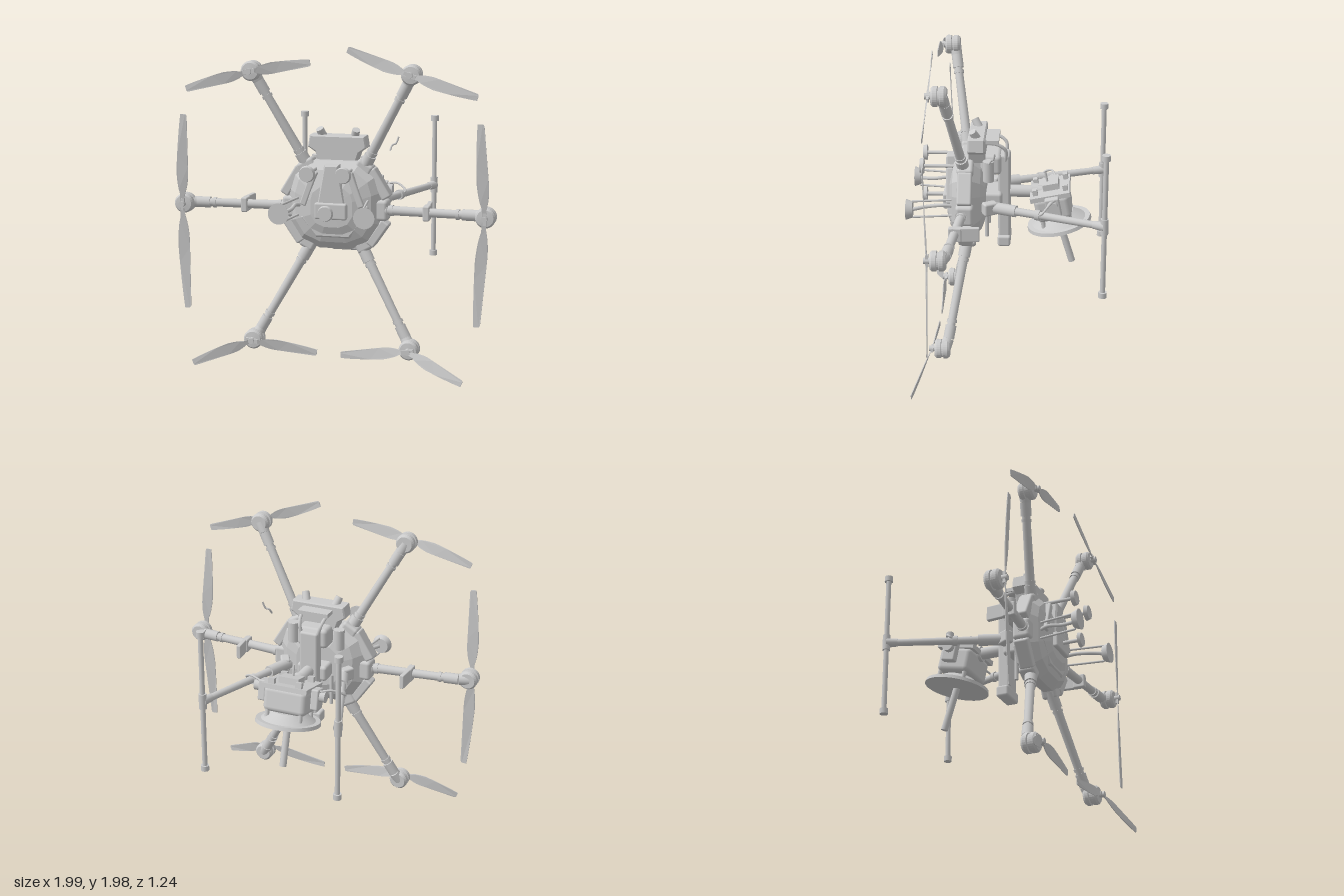
import * as THREE from 'three';
import { RoundedBoxGeometry } from 'three/addons/geometries/RoundedBoxGeometry.js';

const smooth = new THREE.MeshStandardMaterial({ color: 0xcccccc, side: THREE.DoubleSide });
const flat = new THREE.MeshStandardMaterial({ color: 0xcccccc, side: THREE.DoubleSide, flatShading: true });
const V = (p) => new THREE.Vector3(...p);

function add(parent, name, geo, pos = [0, 0, 0], rot = [0, 0, 0], mat = smooth) {
  const m = new THREE.Mesh(geo, mat);
  m.name = name;
  m.position.set(...pos);
  m.rotation.set(...rot);
  parent.add(m);
  return m;
}
const box = (p, name, size, pos, rot) => add(p, name, new THREE.BoxGeometry(...size), pos, rot, flat);
const rbox = (p, name, size, pos, rot) =>
  add(p, name, new RoundedBoxGeometry(...size, 2, Math.min(...size) * 0.2), pos, rot);

// Cylinder running from a to b
function rod(parent, name, a, b, r0, r1 = r0, seg = 16) {
  const A = V(a), d = V(b).sub(A);
  const m = add(parent, name, new THREE.CylinderGeometry(r1, r0, d.length(), seg));
  m.position.copy(A).addScaledVector(d, 0.5);
  m.quaternion.setFromUnitVectors(new THREE.Vector3(0, 1, 0), d.normalize());
  return m;
}
const tube = (p, name, pts, r) =>
  add(p, name, new THREE.TubeGeometry(new THREE.CatmullRomCurve3(pts.map(V)), 24, r, 8));
const along = (a, b, t) => V(a).lerp(V(b), t).toArray();

// Thin twisted propeller blade from the hub to its tip
function blade(parent, hub, tip, flip) {
  const d = V(tip).sub(V(hub)), L = d.length();
  const s = new THREE.Shape();
  s.moveTo(0, -0.012);
  s.lineTo(0.1 * L, -0.014);
  s.bezierCurveTo(0.2 * L, -0.03, 0.28 * L, -0.036, 0.42 * L, -0.032);
  s.lineTo(0.97 * L, -0.02);
  s.quadraticCurveTo(L, -0.018, L, -0.008);
  s.lineTo(L, 0.02);
  s.quadraticCurveTo(0.75 * L, 0.034, 0.38 * L, 0.037);
  s.quadraticCurveTo(0.2 * L, 0.03, 0.12 * L, 0.013);
  s.lineTo(0, 0.012);
  const g = new THREE.ExtrudeGeometry(s, { depth: 0.005, bevelEnabled: false, curveSegments: 8 });
  const q = g.attributes.position;
  for (let i = 0; i < q.count; i++) {
    const t = q.getX(i) / L, y = q.getY(i) * flip;
    q.setY(i, y);
    q.setZ(i, q.getZ(i) + y * flip * 0.3 * (1 - t));
  }
  g.computeVertexNormals();
  const m = add(parent, 'propellerBlade', g, hub);
  const x = d.normalize(), y = new THREE.Vector3(0, 0, 1).cross(x).normalize();
  m.quaternion.setFromRotationMatrix(new THREE.Matrix4().makeBasis(x, y, x.clone().cross(y)));
}

// Arm tube with collars, motor and two-bladed propeller
function rotorArm(root, start, end, motor, tips) {
  const g = new THREE.Group();
  g.name = 'rotorArm';
  root.add(g);
  rod(g, 'armTube', start, end, 0.03, 0.025);
  [[-0.04, 0.14, 0.038], [0.16, 0.19, 0.034], [0.8, 0.83, 0.032], [0.86, 1.0, 0.034]].forEach(([a, b, r]) =>
    rod(g, 'armCollar', along(start, end, a), along(start, end, b), r));
  rod(g, 'motorNeck', end, [motor[0], motor[1], motor[2] - 0.015], 0.034, 0.04);
  const pts = [[0, -0.05], [0.048, -0.05], [0.06, -0.035], [0.06, -0.012], [0.052, -0.008], [0.052, 0.002],
    [0.06, 0.005], [0.06, 0.03], [0.05, 0.042], [0.02, 0.045], [0, 0.045]].map((p) => new THREE.Vector2(...p));
  add(g, 'motor', new THREE.LatheGeometry(pts, 28), motor, [Math.PI / 2, 0, 0], flat);
  const [x, y, z] = motor;
  rod(g, 'propellerHub', [x, y, z + 0.04], [x, y, z + 0.08], 0.018);
  box(g, 'propellerClamp', [0.075, 0.026, 0.016], [x, y, z + 0.06], [0, 0, Math.atan2(tips[0][1] - y, tips[0][0] - x)]);
  tips.forEach((t, i) => blade(g, [x, y, z + 0.06], t, i === 0 ? 1 : -1));
}

export function createModel() {
  const root = new THREE.Group();
  root.name = 'hexacopter';

  // Faceted hull lofted along z
  const half = [[0.1, 0.74], [0.22, 0.79], [0.29, 0.9], [0.29, 1.1], [0.26, 1.2], [0.16, 1.28]];
  const outline = [...half, ...half.map(([x, y]) => [-x, y]).reverse()];
  const rings = [[0.13, 0.5], [0.16, 0.78], [0.22, 1], [0.28, 1], [0.33, 0.82], [0.37, 0.45]];
  const pos = [], idx = [], n = outline.length;
  rings.forEach(([z, s]) => outline.forEach(([x, y]) => pos.push(x * s, 1.01 + (y - 1.01) * s, z)));
  pos.push(0, 1.01, 0.13, 0, 1.01, 0.375);
  const c0 = rings.length * n;
  for (let i = 0; i < n; i++) {
    const j = (i + 1) % n, e = (rings.length - 1) * n;
    for (let k = 0; k < rings.length - 1; k++) {
      const a = k * n + i, b = k * n + j;
      idx.push(a, b, b + n, a, b + n, a + n);
    }
    idx.push(c0, j, i, c0 + 1, e + i, e + j);
  }
  const hull = new THREE.BufferGeometry();
  hull.setAttribute('position', new THREE.Float32BufferAttribute(pos, 3));
  hull.setIndex(idx);
  hull.computeVertexNormals();
  add(root, 'hull', hull, [0, 0, 0], [0, 0, 0], flat);

  // Front cover: spine, nose and chin
  const cover = new THREE.Shape([[-0.035, 1.26], [0.035, 1.26], [0.075, 1.04], [-0.075, 1.04]].map((p) => new THREE.Vector2(...p)));
  add(root, 'coverSpine', new THREE.ExtrudeGeometry(cover, { depth: 0.05, bevelSize: 0.01, bevelThickness: 0.01, bevelSegments: 1 }), [0, 0, 0.32], [0, 0, 0], flat);
  rbox(root, 'nosePanel', [0.2, 0.1, 0.06], [0, 0.99, 0.37]);
  const chin = new THREE.Shape([[-0.19, 0.94], [0.19, 0.94], [0.1, 0.83], [-0.1, 0.83]].map((p) => new THREE.Vector2(...p)));
  add(root, 'chin', new THREE.ExtrudeGeometry(chin, { depth: 0.05, bevelSize: 0.012, bevelThickness: 0.012, bevelSegments: 1 }), [0, 0, 0.29], [0, 0, 0], flat);
  rod(root, 'centreAntennaPost', [0, 1, 0.37], [0, 1, 0.51], 0.012);
  rod(root, 'centreAntenna', [0, 1, 0.505], [0, 1, 0.525], 0.048, 0.042, 24);

  // Rear head unit
  const head = new THREE.Shape([[-0.11, 1.27], [0.11, 1.27], [0.13, 1.33], [0.175, 1.36], [0.165, 1.42], [-0.165, 1.42], [-0.175, 1.36], [-0.13, 1.33]].map((p) => new THREE.Vector2(...p)));
  add(root, 'headUnit', new THREE.ExtrudeGeometry(head, { depth: 0.09, bevelSize: 0.008, bevelThickness: 0.008, bevelSegments: 1 }), [0, 0, 0.14], [0, 0, 0], flat);
  box(root, 'headBracket', [0.2, 0.025, 0.12], [0, 1.39, 0.11]);
  rbox(root, 'rearBlock', [0.2, 0.13, 0.13], [0, 1.235, 0.1]);

  // Spine rail carrying the payload
  rbox(root, 'payloadRail', [0.12, 0.6, 0.075], [0, 0.99, 0.02]);
  rbox(root, 'railFoot', [0.17, 0.07, 0.08], [0, 0.715, 0.02]);
  rbox(root, 'railBridge', [0.2, 0.1, 0.12], [0, 1.0, 0.09]);
  rod(root, 'gimbalColumn', [0, 1.03, 0], [0, 1.03, -0.24], 0.038);
  rod(root, 'gimbalCollar', [0, 1.03, -0.15], [0, 1.03, -0.19], 0.05);
  tube(root, 'wire', [[0.3, 1.33, 0.1], [0.31, 1.36, 0.08], [0.33, 1.37, 0.07], [0.345, 1.41, 0.06]], 0.006);

  // Payload: tilted box over a dish with a downward mast
  const pay = new THREE.Group();
  pay.name = 'payload';
  pay.position.set(0, 0.83, -0.325);
  pay.rotation.x = 0.21;
  root.add(pay);
  rod(pay, 'dish', [0, -0.012, 0], [0, 0.01, 0], 0.205, 0.2, 40);
  rod(pay, 'dishCone', [0, 0.01, 0], [0, 0.06, 0], 0.17, 0.1, 32);
  rod(pay, 'mast', [0, 0, 0], [0, -0.29, -0.025], 0.022);
  rbox(pay, 'payloadBody', [0.28, 0.16, 0.22], [0, 0.14, 0.01]);
  box(pay, 'payloadLid', [0.3, 0.03, 0.25], [0, 0.225, 0.01]);
  box(pay, 'payloadTopUnit', [0.13, 0.04, 0.1], [0, 0.26, 0]);
  rod(pay, 'payloadStalk', [0, 0.27, 0.02], [0, 0.35, 0.02], 0.007);

  // Mirrored parts
  for (const s of [1, -1]) {
    const M = (x, y, z) => [s * x, y, z];
    rotorArm(root, M(0.24, 0.99, 0.26), M(0.88, 0.995, 0.315), M(0.937, 0.995, 0.355),
      [M(0.91, 1.555, 0.43), M(0.905, 0.345, 0.43)]);
    rotorArm(root, M(0.18, 1.25, 0.26), M(0.46, 1.765, 0.345), M(0.49, 1.825, 0.375),
      s > 0 ? [[0.12, 1.97, 0.44], [0.89, 1.71, 0.43]] : [[-0.11, 1.885, 0.43], [-0.89, 1.71, 0.43]]);
    rotorArm(root, M(0.17, 0.74, 0.25), M(0.46, 0.22, 0.345), M(0.49, 0.165, 0.385),
      [M(0.075, 0.115, 0.435), M(0.84, 0.025, 0.54)]);

    // Cross plate on each side arm
    rbox(root, 'armPlate', [0.028, 0.09, 0.17], M(0.57, 0.99, 0.225), [0, s * 0.08, 0]);
    rbox(root, 'armClamp', [0.04, 0.09, 0.08], M(0.57, 0.99, 0.285));

    // Flaps and joints around the hull
    rbox(root, 'upperFlap', [0.06, 0.2, 0.09], M(0.27, 1.15, 0.25), [0, 0, s * 0.55]);
    rbox(root, 'lowerFlap', [0.06, 0.18, 0.09], M(0.265, 0.845, 0.25), [0, 0, -s * 0.6]);
    rbox(root, 'sideJoint', [0.12, 0.13, 0.11], M(0.27, 0.99, 0.25));
    rbox(root, 'upperJoint', [0.11, 0.11, 0.1], M(0.17, 1.23, 0.25), [0, 0, -s * 0.5]);
    rbox(root, 'lowerJoint', [0.1, 0.1, 0.1], M(0.17, 0.775, 0.24), [0, 0, s * 0.5]);
    rbox(root, 'coverRib', [0.04, 0.22, 0.04], M(0.145, 1.12, 0.35), [0, 0, s * 0.35]);

    // Antennas standing off the front
    tube(root, 'largeAntennaPost', [M(0.2, 1, 0.3), M(0.22, 1.02, 0.38), M(0.22, 1.01, 0.48), M(0.25, 1.0, 0.58)], 0.012);
    rod(root, 'largeAntenna', M(0.26, 1.005, 0.57), M(0.26, 1.005, 0.61), 0.05, 0.064, 28);
    for (const y of [0.95, 1.055]) rod(root, 'antennaStrut', M(0.215, y, 0.32), M(0.25, y, 0.575), 0.007);
    rod(root, 'smallAntennaPost', M(0.11, 1.235, 0.3), M(0.11, 1.235, 0.52), 0.011);
    rod(root, 'smallAntenna', M(0.11, 1.235, 0.51), M(0.11, 1.235, 0.535), 0.05, 0.044, 24);

    // Aerials and cables at the head
    rod(root, 'aerialStub', M(0.09, 1.39, 0.17), M(0.115, 1.465, 0.21), 0.028, 0.024);
    tube(root, 'rearCable', [M(0.08, 1.38, 0.14), M(0.08, 1.37, 0.06), M(0.07, 1.33, 0.01), M(0.05, 1.25, 0.01)], 0.011);
    rod(root, 'rearCanister', M(0.155, 1.16, 0.11), M(0.155, 1.29, 0.11), 0.035);
    rod(root, 'lowerRod', M(0.1, 0.76, 0.125), M(0.1, 0.96, 0.125), 0.012);

    // Landing gear: sloped leg and vertical skid
    const a = M(0.2, 1.0, 0.07), b = M(0.442, 1.0, -0.6);
    rod(root, 'landingLeg', a, b, 0.026, 0.021);
    rod(root, 'legSocket', along(a, b, -0.05), along(a, b, 0.2), 0.036);
    rod(root, 'legCollar', along(a, b, 0.38), along(a, b, 0.42), 0.032);
    rod(root, 'legEnd', along(a, b, 0.9), b, 0.024, 0.03);
    rbox(root, 'legClamp', [0.06, 0.08, 0.09], M(0.21, 1.0, 0.1), [0, s * 0.5, 0]);
    rod(root, 'skid', M(0.442, 0.54, -0.6), M(0.442, 1.45, -0.6), 0.016);
    rod(root, 'skidSleeve', M(0.442, 0.95, -0.6), M(0.442, 1.05, -0.6), 0.024);
    for (const y of [0.525, 1.425]) rod(root, 'skidCap', M(0.442, y, -0.6), M(0.442, y + 0.035, -0.6), 0.026);

    // Payload yoke
    rbox(pay, 'payloadYoke', [0.05, 0.13, 0.09], M(0.175, 0.17, 0.0));
    rod(pay, 'payloadKnob', M(0.19, 0.19, 0), M(0.235, 0.19, 0), 0.035);
    for (const z of [-0.08, 0.09]) rod(pay, 'payloadFoot', M(0.11, 0, z), M(0.11, 0.1, z), 0.014);
    for (const z of [-0.09, 0.1]) box(pay, 'payloadLug', [0.04, 0.04, 0.03], M(0.09, 0.255, z));
    tube(root, 'payloadCable', [M(0.3, 1.0, -0.2), M(0.33, 1.02, -0.22), M(0.27, 1.06, -0.27), M(0.19, 1.05, -0.3)], 0.007);
  }
  return root;
}
